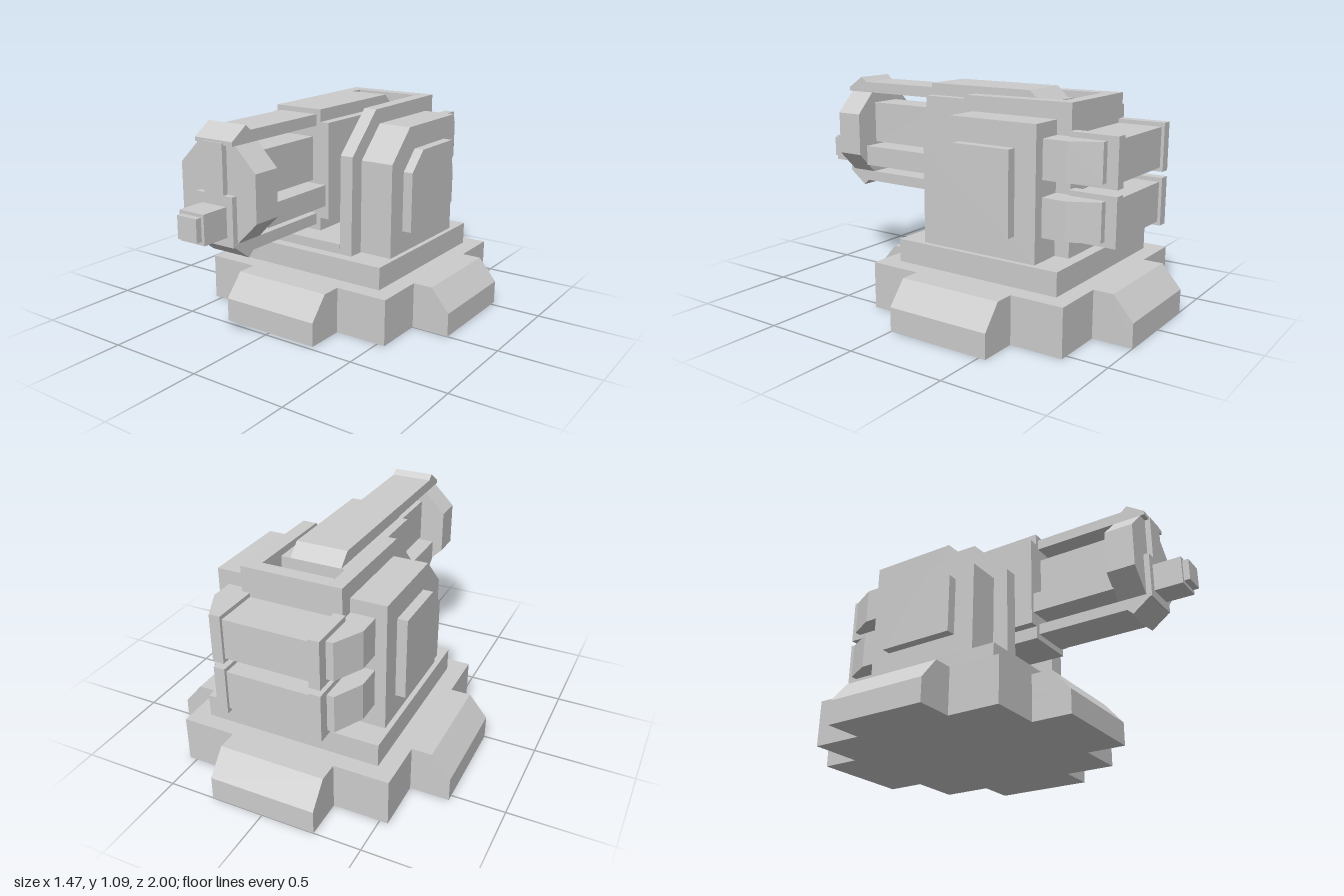
import * as THREE from 'three';

const material = new THREE.MeshStandardMaterial({ color: 0xcccccc, flatShading: true, side: THREE.DoubleSide });

export function createModel() {
  const model = new THREE.Group();

  const add = (name, geometry) => {
    const mesh = new THREE.Mesh(geometry, material);
    mesh.name = name;
    model.add(mesh);
  };
  // Box given by its limits on each axis
  const box = (name, x0, x1, y0, y1, z0, z1) => {
    const g = new THREE.BoxGeometry(x1 - x0, y1 - y0, z1 - z0);
    g.translate((x0 + x1) / 2, (y0 + y1) / 2, (z0 + z1) / 2);
    add(name, g);
  };
  const extrude = (points, depth) => new THREE.ExtrudeGeometry(
    new THREE.Shape(points.map(([a, b]) => new THREE.Vector2(a, b))), { depth, bevelEnabled: false });
  // Side profile [z, y] extruded across x
  const side = (name, points, x0, x1) =>
    add(name, extrude(points, x1 - x0).rotateY(-Math.PI / 2).translate(x1, 0, 0));
  // Front profile [x, y] extruded along z
  const front = (name, points, z0, z1) => add(name, extrude(points, z1 - z0).translate(0, 0, z0));
  // Plan profile [x, z] extruded up y
  const plan = (name, points, y0, y1) =>
    add(name, extrude(points.map(([x, z]) => [x, -z]), y1 - y0).rotateX(-Math.PI / 2).translate(0, y0, 0));

  // Cross-shaped base with chamfered lugs
  box('basePlate', -0.54, 0.54, 0, 0.235, -0.8, 0.27);
  front('baseSideLugs', [[-0.735, 0], [0.735, 0], [0.735, 0.12], [0.64, 0.235], [-0.64, 0.235], [-0.735, 0.12]], -0.535, 0);
  side('baseEndLugs', [[-1, 0], [0.475, 0], [0.475, 0.12], [0.375, 0.235], [-0.9, 0.235], [-1, 0.12]], -0.267, 0.267);
  box('baseStep', -0.45, 0.45, 0.235, 0.35, -0.715, 0.18);

  // Open cradle floor and rear wall
  box('cradleFloor', -0.18, 0.18, 0.35, 0.4, -0.66, 0.125);
  box('cradleRearWall', -0.18, 0.18, 0.4, 1.065, -0.66, -0.59);

  for (const s of [-1, 1]) {
    const layer = (name, points, a, b) => side(name, points, Math.min(s * a, s * b), Math.max(s * a, s * b));
    // Stepped cheek armour
    layer('cheekInner', [[-0.66, 0.35], [0.125, 0.35], [0.12, 0.855], [-0.085, 1.06], [-0.66, 1.065]], 0.18, 0.25);
    layer('cheekOuter', [[-0.585, 0.35], [0.04, 0.35], [0.04, 0.825], [-0.12, 0.985], [-0.585, 0.985]], 0.25, 0.425);
    layer('cheekPanel', [[-0.475, 0.465], [-0.07, 0.465], [-0.07, 0.77], [-0.17, 0.87], [-0.475, 0.87]], 0.425, 0.475);
  }

  // Two rear canisters with end flanges and flared side pods
  for (const y of [0.44, 0.705]) {
    box('rearCanister', -0.22, 0.22, y + 0.02, y + 0.215, -0.885, -0.66);
    for (const s of [-1, 1]) {
      const [a, b] = s > 0 ? [0.21, 0.265] : [-0.265, -0.21];
      box('canisterFlange', a, b, y, y + 0.235, -0.9, -0.66);
      plan('canisterPod', [[0.2, -0.845], [0.3, -0.845], [0.37, -0.705], [0.37, -0.58], [0.2, -0.58]]
        .map(([x, z]) => [s * x, z]), y + 0.025, y + 0.21);
    }
  }

  // Gun receiver with raised top and bottom ridge
  box('receiverBody', -0.178, 0.178, 0.555, 1.03, -0.43, 0.22);
  side('receiverRidge', [[-0.43, 0.49], [0.22, 0.49], [0.22, 1.09], [-0.365, 1.09], [-0.43, 1.03]], -0.13, 0.13);

  // Rails with hooked ends gripping the barrel head
  side('topRail', [[0.22, 1.01], [0.82, 1.01], [0.82, 1.03], [0.73, 1.09], [0.7, 1.065], [0.22, 1.065]], -0.107, 0.107);
  side('bottomRail', [[0.22, 0.575], [0.82, 0.575], [0.82, 0.56], [0.73, 0.492], [0.7, 0.52], [0.22, 0.52]], -0.107, 0.107);

  // Barrels
  box('upperBarrel', -0.085, 0.085, 0.74, 0.955, 0.22, 0.66);
  box('lowerBarrel', -0.16, 0.16, 0.62, 0.725, 0.22, 0.66);

  // Octagonal barrel head with front plate and muzzle
  const octagon = [[0.107, 0.575], [0.215, 0.682], [0.215, 0.902], [0.107, 1.01]];
  front('barrelHead', [...octagon, ...octagon.map(([x, y]) => [-x, y]).reverse()], 0.655, 0.8);
  front('headPlate', [[-0.105, 0.56], [0.105, 0.56], [0.105, 0.79], [0.055, 0.79], [0.055, 1.02],
    [-0.055, 1.02], [-0.055, 0.79], [-0.105, 0.79]], 0.8, 0.828);
  box('muzzle', -0.07, 0.07, 0.603, 0.742, 0.82, 0.97);
  box('muzzleTip', -0.055, 0.055, 0.62, 0.727, 0.97, 1);

  return model;
}
